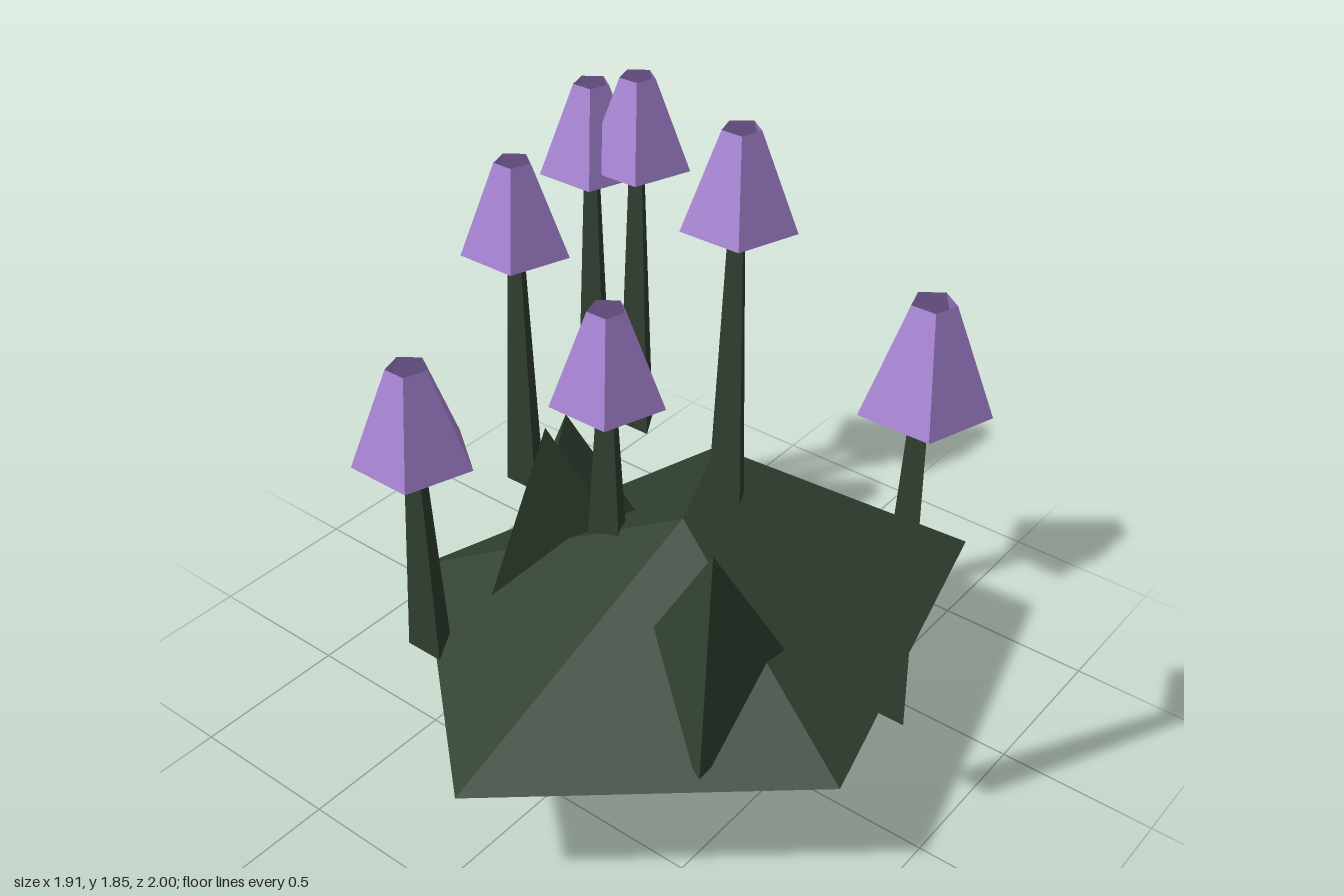
import * as THREE from 'three';

const green = new THREE.MeshStandardMaterial({ color: 0x2f3f2f, flatShading: true });
green.name = 'mossGreen';
const purple = new THREE.MeshStandardMaterial({ color: 0xa683d4, flatShading: true, side: THREE.DoubleSide });
purple.name = 'capPurple';

function add(parent, name, geometry, material, x = 0, y = 0, z = 0) {
  const mesh = new THREE.Mesh(geometry, material);
  mesh.name = name;
  mesh.position.set(x, y, z);
  parent.add(mesh);
  return mesh;
}

// Faceted frustum with its first corner at the given angle (degrees from +x towards +z)
function frustum(top, bottom, height, sides, angle = 0, open = false) {
  const start = Math.PI / 2 - THREE.MathUtils.degToRad(angle);
  return new THREE.CylinderGeometry(top, bottom, height, sides, 1, open, start);
}

// Uneven five-sided double pyramid
function islandGeometry() {
  const rim = [[0.936, 0.565], [-0.265, 0.868], [-0.957, 0.06], [-0.265, -0.745], [0.868, -0.41]];
  const peak = [0.06, 0.74, 0.06];
  const foot = [0.06, 0, 0.06];
  const points = [];
  rim.forEach(([x, z], i) => {
    const [nx, nz] = rim[(i + 1) % rim.length];
    const a = [x, 0.37, z];
    const b = [nx, 0.37, nz];
    points.push(...peak, ...b, ...a, ...foot, ...a, ...b);
  });
  const geometry = new THREE.BufferGeometry();
  geometry.setAttribute('position', new THREE.Float32BufferAttribute(points, 3));
  geometry.computeVertexNormals();
  return geometry;
}

export function createModel() {
  const model = new THREE.Group();
  model.name = 'mushroomIsland';
  add(model, 'island', islandGeometry(), green);

  // Three-sided rocks: x, z, corner angle
  const rocks = [[-0.24, 0.395, 28], [-0.05, -0.385, 180], [0.045, -0.385, 51.4]];
  for (const [x, z, angle] of rocks) {
    add(model, 'rock', frustum(0, 0.31, 0.54, 3, angle), green, x, 0.67, z);
  }

  // Mushrooms: x, z, stem foot height, cap rim height
  const mushrooms = [
    [0.07, 0.82, 0.4, 1.45],
    [0.425, -0.028, 0.55, 1.55],
    [-0.005, -0.17, 0.58, 1.11],
    [-0.557, -0.415, 0.4, 1.09],
    [0.27, -0.77, 0.4, 1.29],
    [0.72, -0.835, 0.4, 1.38],
    [0.777, -0.69, 0.4, 1.42],
  ];
  for (const [x, z, foot, rim] of mushrooms) {
    const mushroom = new THREE.Group();
    mushroom.name = 'mushroom';
    mushroom.position.set(x, 0, z);
    // The stem ends halfway up the open-topped cap
    const height = rim + 0.15 - foot;
    add(mushroom, 'stem', frustum(0.024, 0.074, height, 3), green, 0, foot + height / 2, 0);
    add(mushroom, 'cap', frustum(0.06, 0.18, 0.3, 5, 0, true), purple, 0, rim + 0.15, 0);
    model.add(mushroom);
  }
  return model;
}
